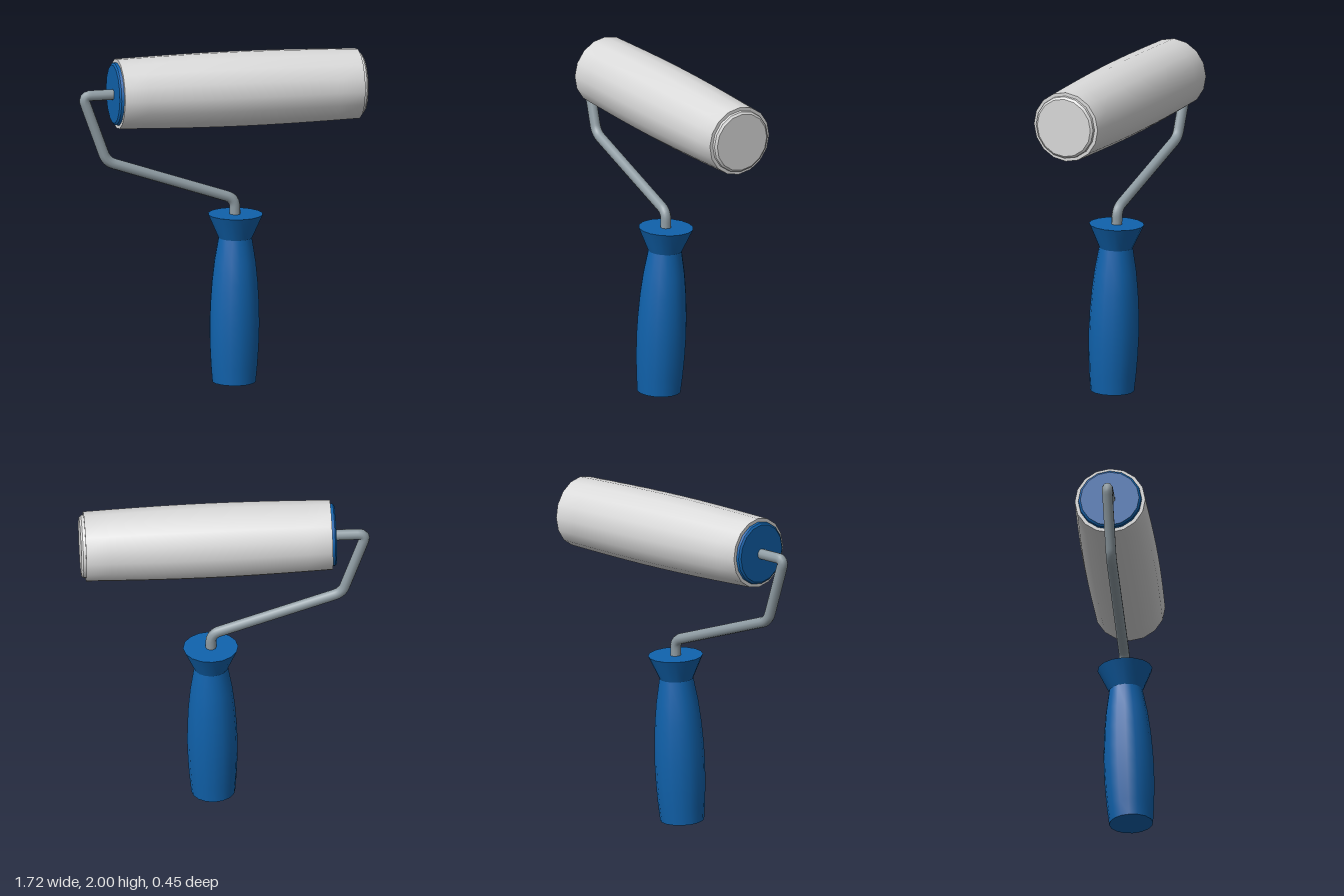
import * as THREE from 'three';
import { toCreasedNormals } from 'three/addons/utils/BufferGeometryUtils.js';

const V = (x, y, z) => new THREE.Vector3(x, y, z);

function flat(name, color) {
  const m = new THREE.MeshStandardMaterial({ color });
  m.name = name;
  return m;
}

// Turned part: profile of [radius, distance along the axis], axis starting at base
function turned(name, profile, base, axis, material) {
  const points = profile.map(([r, d]) => new THREE.Vector2(r, d));
  const geometry = toCreasedNormals(new THREE.LatheGeometry(points, 16), 0.43);
  const mesh = new THREE.Mesh(geometry, material);
  mesh.name = name;
  mesh.position.copy(base);
  mesh.quaternion.setFromUnitVectors(V(0, 1, 0), axis);
  return mesh;
}

// Path of straight runs with rounded corners
function bentPath(corners, radius) {
  const path = new THREE.CurvePath();
  let from = corners[0];
  for (let i = 1; i < corners.length - 1; i++) {
    const c = corners[i];
    const a = c.clone().add(corners[i - 1].clone().sub(c).setLength(radius));
    const b = c.clone().add(corners[i + 1].clone().sub(c).setLength(radius));
    path.add(new THREE.LineCurve3(from, a));
    path.add(new THREE.QuadraticBezierCurve3(a, c, b));
    from = b;
  }
  path.add(new THREE.LineCurve3(from, corners[corners.length - 1]));
  return path;
}

export function createModel() {
  const group = new THREE.Group();
  group.name = 'paintRoller';
  const blue = flat('blue plastic', 0x1062ac);
  const steel = flat('grey steel', 0x8f9ca3);
  const white = flat('off-white fleece', 0xdadada);

  // Handle, leaning slightly, with a flared collar
  const handleBase = V(0.064, 0.006, 0.068);
  const handleAxis = V(0.082, 1.02, 0.03).sub(handleBase).normalize();
  group.add(turned('handle', [
    [0, 0], [0.13, 0], [0.139, 0.1], [0.146, 0.22], [0.149, 0.35], [0.146, 0.47],
    [0.138, 0.6], [0.124, 0.73], [0.1, 0.872], [0.163, 1.014], [0, 1.014],
  ], handleBase, handleAxis, blue));

  // Bent wire frame from handle to roller
  const path = bentPath([
    V(0.08, 0.96, 0.032), V(0.079, 1.112, 0.027), V(-0.695, 1.383, 0.016),
    V(-0.838, 1.79, 0.003), V(-0.6, 1.788, 0.003),
  ], 0.05);
  const frame = new THREE.Mesh(new THREE.TubeGeometry(path, 120, 0.032, 10), steel);
  frame.name = 'wireFrame';
  group.add(frame);

  // Roller sleeve, bulging gently toward the middle, with a stepped outer end
  const rollerBase = V(-0.654, 1.791, 0.003);
  const rollerAxis = V(0.855, 1.761, -0.005).sub(rollerBase).normalize();
  const sleeve = [[0, 0.025]];
  for (let i = 0; i <= 10; i++) {
    const t = i / 10;
    sleeve.push([0.209 + 0.015 * Math.sin(Math.PI * t), 0.025 + 1.458 * t]);
  }
  sleeve.push([0.189, 1.483], [0.187, 1.499], [0.174, 1.51], [0, 1.51]);
  group.add(turned('rollerSleeve', sleeve, rollerBase, rollerAxis, white));

  // Blue end cap on the wire side
  group.add(turned('endCap', [
    [0, 0], [0.174, 0], [0.186, 0.009], [0.189, 0.03],
  ], rollerBase, rollerAxis, blue));

  return group;
}
